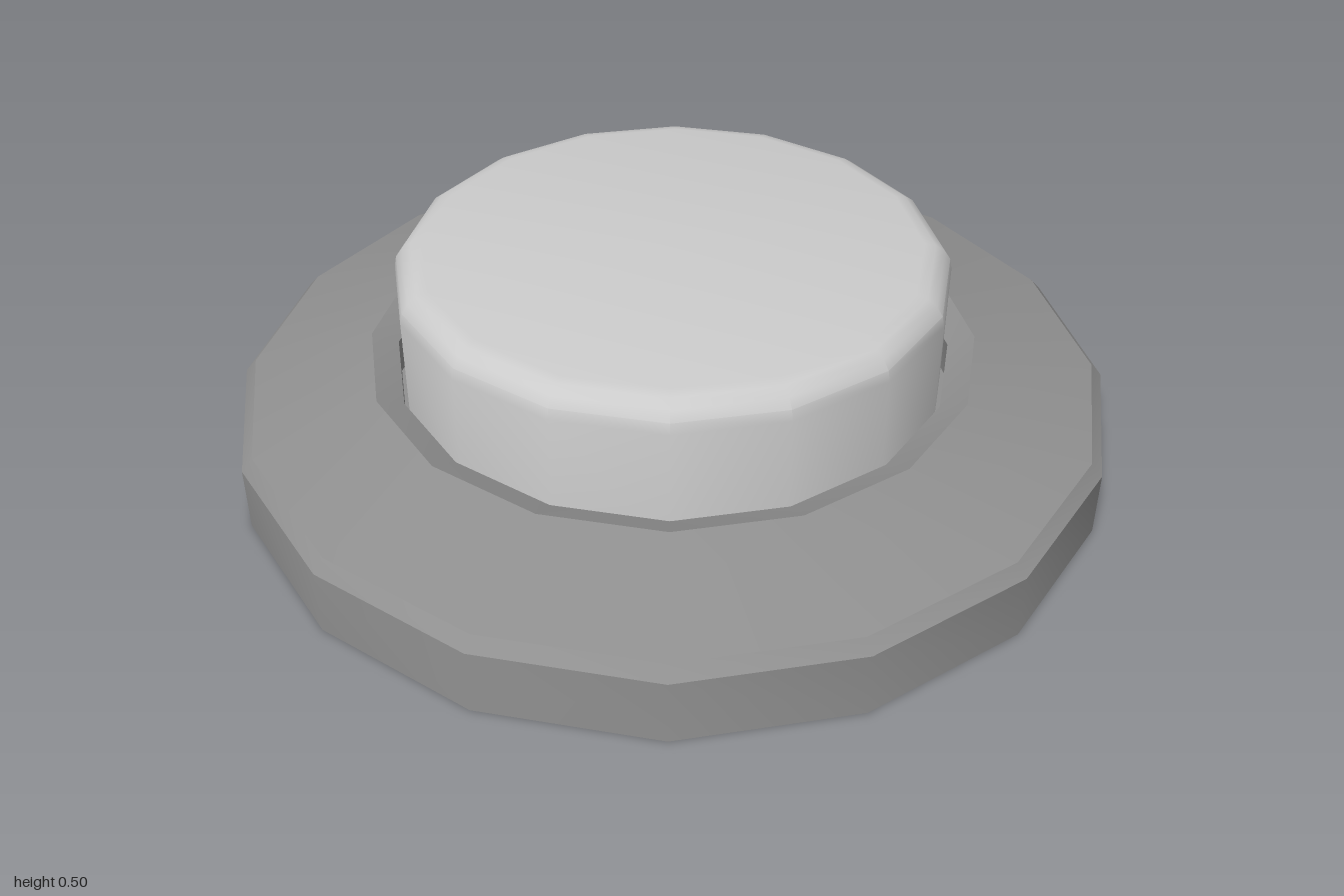
import * as THREE from 'three';
import { toCreasedNormals } from 'three/addons/utils/BufferGeometryUtils.js';

const SIDES = 16;

// Turns an [radius, height] profile into a 16-sided part with sharp creases
function turned(name, profile, color) {
  const points = profile.map(([r, y]) => new THREE.Vector2(r, y));
  const geometry = toCreasedNormals(new THREE.LatheGeometry(points, SIDES), Math.PI / 6);
  const mesh = new THREE.Mesh(geometry, new THREE.MeshStandardMaterial({ color }));
  mesh.name = name;
  return mesh;
}

export function createModel() {
  const group = new THREE.Group();
  group.name = 'pushButton';

  // Base: upright rim, small bevel, sloping collar and a shallow inward lip
  group.add(turned('base', [
    [0, 0], [1, 0], [1, 0.15], [0.975, 0.178],
    [0.695, 0.255], [0.635, 0.232], [0.635, 0.15], [0, 0.15],
  ], 0x909090));

  // Cap: straight wall with a rounded upper edge
  const radius = 0.625, top = 0.503, round = 0.065;
  const cap = [[radius, 0.15]];
  for (let i = 0; i <= 4; i++) {
    const a = (i / 4) * Math.PI / 2;
    cap.push([radius - round + round * Math.cos(a), top - round + round * Math.sin(a)]);
  }
  cap.push([0, top]);
  group.add(turned('buttonCap', cap, 0xcccccc));

  return group;
}
